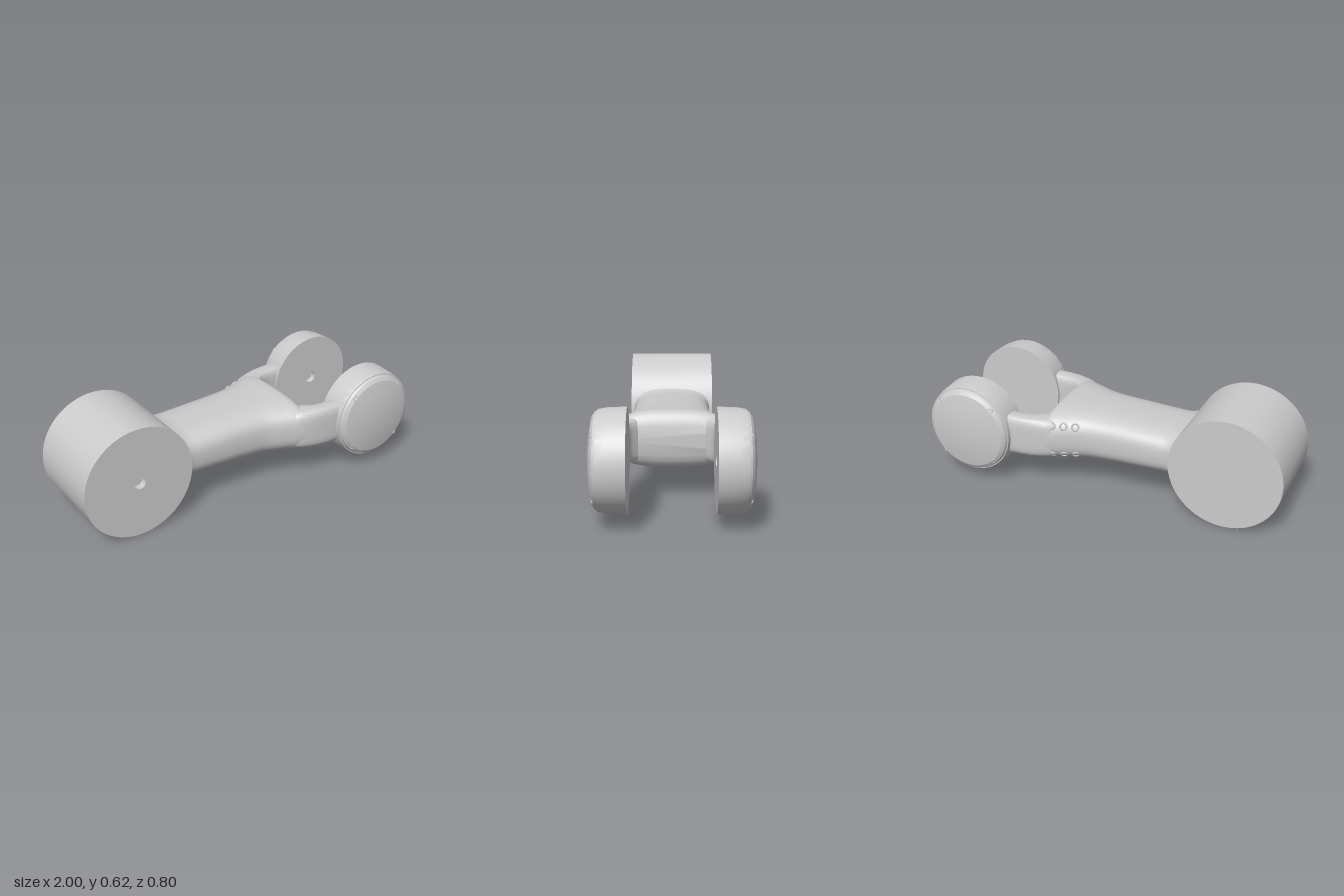
import * as THREE from 'three';
import { toCreasedNormals } from 'three/addons/utils/BufferGeometryUtils.js';

const MID = 0.3125; // height of the arm's centre line
const RING = 48;
const grey = new THREE.MeshStandardMaterial({ color: 0xcccccc });

function addMesh(parent, name, geometry) {
  const mesh = new THREE.Mesh(geometry, grey);
  mesh.name = name;
  parent.add(mesh);
  return mesh;
}

// Smooth rounded-box section [centre z, half width, half height] along x
function makeProfile(stations, power) {
  const spline = new THREE.CubicInterpolant(
    stations.map((s) => s[0]), stations.flatMap((s) => s.slice(1)), 3);
  const soft = (v) => Math.sign(v) * Math.abs(v) ** (2 / power);
  return (x, angle, side = 1) => {
    const [c, w, h] = spline.evaluate(x);
    return new THREE.Vector3(x, MID + h * soft(Math.sin(angle)), side * c + w * soft(Math.cos(angle)));
  };
}

// Closed skin over the sections from x0 to x1
function loft(profile, x0, x1, steps, side) {
  const pos = [], index = [];
  for (let i = 0; i <= steps; i++) {
    const x = x0 + ((x1 - x0) * i) / steps;
    for (let j = 0; j < RING; j++) pos.push(...profile(x, (j / RING) * Math.PI * 2, side).toArray());
  }
  const at = (i, j) => i * RING + (j % RING);
  for (let i = 0; i < steps; i++) {
    for (let j = 0; j < RING; j++) {
      index.push(at(i, j), at(i + 1, j), at(i, j + 1), at(i + 1, j), at(i + 1, j + 1), at(i, j + 1));
    }
  }
  for (let j = 1; j < RING - 1; j++) {
    index.push(at(0, 0), at(0, j), at(0, j + 1));
    index.push(at(steps, 0), at(steps, j + 1), at(steps, j));
  }
  const g = new THREE.BufferGeometry();
  g.setAttribute('position', new THREE.Float32BufferAttribute(pos, 3));
  g.setIndex(index);
  return toCreasedNormals(g, 0.6);
}

// Turned part whose axis points to the front (side 1) or the back (side -1)
function turned(points, side) {
  const g = new THREE.LatheGeometry(points.map(([r, a]) => new THREE.Vector2(r, a)), 64);
  return toCreasedNormals(g.rotateX((side * Math.PI) / 2), 0.35);
}

// Small rim around a screw hole
function addRim(parent, name, point, normal, radius) {
  const rim = addMesh(parent, name, new THREE.TorusGeometry(radius, radius * 0.25, 6, 16));
  rim.position.copy(point);
  rim.quaternion.setFromUnitVectors(new THREE.Vector3(0, 0, 1), normal.normalize());
}

export function createModel() {
  const model = new THREE.Group();
  model.name = 'forkedArmLink';

  // Large joint drum with a bore in its front face
  const drum = addMesh(model, 'jointDrum', turned(
    [[0, -0.237], [0.308, -0.237], [0.308, 0.237], [0.035, 0.237], [0.035, 0.2], [0, 0.2]], 1));
  drum.position.set(-0.692, 0.309, 0);

  // Crowned arm body, flaring toward the fork
  const body = makeProfile([
    [-0.45, 0, 0.232, 0.141], [-0.41, 0, 0.226, 0.135], [-0.36, 0, 0.215, 0.127],
    [-0.3, 0, 0.214, 0.128], [-0.15, 0, 0.217, 0.134], [0, 0, 0.222, 0.139],
    [0.1, 0, 0.234, 0.143], [0.2, 0, 0.27, 0.148], [0.27, 0, 0.297, 0.152],
    [0.3, 0, 0.306, 0.148], [0.33, 0, 0.31, 0.118], [0.345, 0, 0.311, 0.08],
  ], 3);
  addMesh(model, 'armBody', loft(body, -0.45, 0.345, 70, 1));

  // Fork prongs, curving out from the crotch to the end caps
  const prong = makeProfile([
    [0.24, 0.192, 0.083, 0.1], [0.28, 0.21, 0.088, 0.112], [0.34, 0.243, 0.073, 0.115],
    [0.38, 0.264, 0.059, 0.115], [0.42, 0.274, 0.054, 0.115],
    [0.5, 0.279, 0.054, 0.115], [0.6, 0.279, 0.054, 0.115],
  ], 4);

  for (const side of [1, -1]) {
    const label = side > 0 ? 'front' : 'back';
    addMesh(model, `${label}Prong`, loft(prong, 0.24, 0.6, 36, side));

    // Domed end cap; the back one has a bore in its inner face
    const cap = new THREE.Group();
    cap.name = `${label}EndCap`;
    cap.position.set(0.742, 0.312, 0);
    const inner = side > 0 ? [[0, 0.212]] : [[0, 0.245], [0.035, 0.245], [0.035, 0.212]];
    addMesh(cap, 'capShell', turned([...inner, [0.257, 0.212], [0.253, 0.31], [0.245, 0.353],
      [0.24, 0.353], [0.234, 0.366], [0.215, 0.379], [0.15, 0.392], [0.075, 0.4], [0, 0.402]], side));
    for (let k = 0; k < 4; k++) {
      const a = Math.PI * (0.25 + k / 2), cx = Math.cos(a), cy = Math.sin(a);
      addRim(cap, 'capScrew', new THREE.Vector3(0.222 * cx, 0.222 * cy, side * 0.374),
        new THREE.Vector3(0.5 * cx, 0.5 * cy, side), 0.011);
    }
    model.add(cap);
  }

  // Two rows of three holes along the back flare
  for (const tilt of [0.45, -0.45]) {
    for (const x of [0.15, 0.21, 0.27]) {
      const a = Math.PI - tilt;
      const p = body(x, a);
      const along = body(x + 0.01, a).sub(p);
      const around = body(x, a + 0.02).sub(p);
      addRim(model, 'flareHole', p, along.cross(around), 0.018);
    }
  }
  return model;
}
